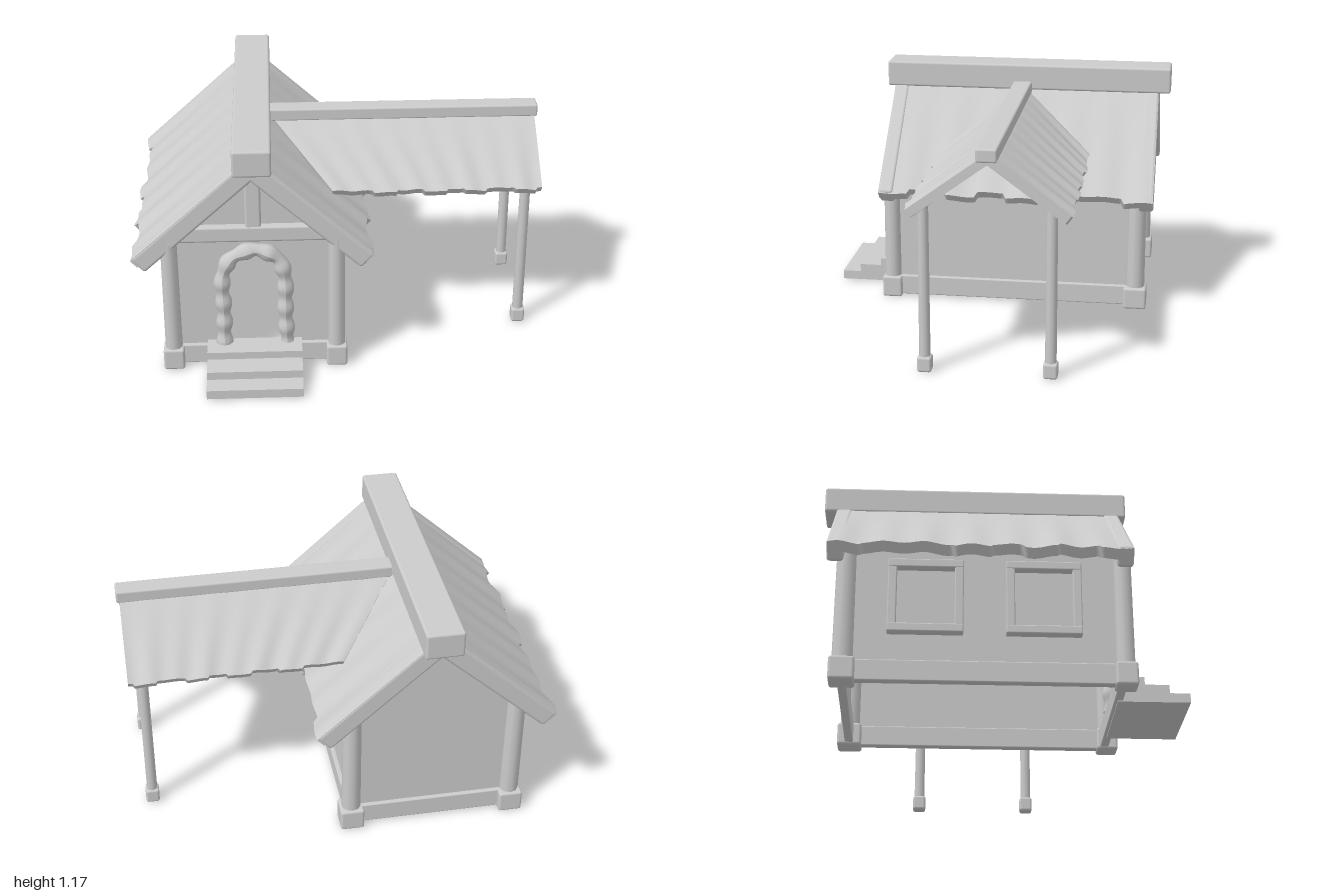
import * as THREE from 'three';
import { RoundedBoxGeometry } from 'three/addons/geometries/RoundedBoxGeometry.js';

const grey = new THREE.MeshStandardMaterial({ color: 0xcccccc });
const thin = new THREE.MeshStandardMaterial({ color: 0xcccccc, side: THREE.DoubleSide });

function add(parent, name, geometry, x = 0, y = 0, z = 0, material = grey) {
  const mesh = new THREE.Mesh(geometry, material);
  mesh.name = name;
  mesh.position.set(x, y, z);
  parent.add(mesh);
  return mesh;
}

// Box given by its limits, with softened edges
function block(parent, name, [x0, x1], [y0, y1], [z0, z1], r = 0.006) {
  return add(parent, name, new RoundedBoxGeometry(x1 - x0, y1 - y0, z1 - z0, 2, r),
    (x0 + x1) / 2, (y0 + y1) / 2, (z0 + z1) / 2);
}

// Round post standing on a block
function post(parent, name, x, z, r, top, baseW, baseH) {
  const g = new THREE.Group();
  g.name = name;
  const h = top - baseH + 0.02;
  add(g, 'shaft', new THREE.CylinderGeometry(r, r * 1.06, h, 10), 0, top - h / 2, 0);
  const b = baseW / 2;
  block(g, 'base', [-b, b], [0, baseH], [-b, b], 0.012);
  g.position.set(x, 0, z);
  parent.add(g);
}

// Rippled roof sheet: runs down +x from the ridge and along z, with tile tabs at the eave
function roofSheet({ length, thickness, ridgeStart, eaveStart, end, ripples, ripple, tabs, tabDepth }) {
  const geo = new THREE.BoxGeometry(1, 1, 1, 4, 1, 96);
  const p = geo.attributes.position;
  for (let i = 0; i < p.count; i++) {
    const s = p.getX(i) + 0.5, a = p.getZ(i) + 0.5;
    const start = THREE.MathUtils.lerp(ridgeStart, eaveStart, s);
    const eaveZ = eaveStart + a * (end - eaveStart);
    const tab = s > 0.99 && tabs.some(([t0, t1]) => eaveZ >= t0 && eaveZ <= t1) ? tabDepth : 0;
    const wave = ripple * s * (Math.sin(a * ripples * 2 * Math.PI) + 0.5 * Math.sin(a * ripples * 3.7 + 1));
    p.setXYZ(i, s * length + tab, p.getY(i) * thickness + wave, start + a * (end - start));
  }
  geo.computeVertexNormals();
  return geo;
}

// Both slopes of a roof, mirrored about the ridge
function gableRoof(name, angle, makeSlope) {
  const roof = new THREE.Group();
  roof.name = name;
  for (const side of [1, -1]) {
    const half = new THREE.Group(), slope = new THREE.Group();
    half.name = side > 0 ? 'slopeA' : 'slopeB';
    half.scale.x = side;
    slope.rotation.z = -angle;
    makeSlope(slope);
    half.add(slope);
    roof.add(half);
  }
  return roof;
}

function gableShape(x0, x1, eave, peak) {
  const s = new THREE.Shape();
  s.moveTo(x0, 0.02);
  s.lineTo(x1, 0.02);
  s.lineTo(x1, eave);
  s.lineTo((x0 + x1) / 2, peak);
  s.lineTo(x0, eave);
  s.closePath();
  return s;
}

function buildWalls(house) {
  const x0 = -0.82, x1 = -0.03, zF = 0.525, zB = -0.71;
  // Front gable has an arched doorway
  const front = gableShape(x0, x1, 0.7, 1.05);
  const door = new THREE.Path();
  door.moveTo(-0.55, 0.1);
  door.lineTo(-0.55, 0.5);
  door.quadraticCurveTo(-0.54, 0.62, -0.425, 0.62);
  door.quadraticCurveTo(-0.3, 0.62, -0.295, 0.5);
  door.lineTo(-0.295, 0.1);
  door.closePath();
  front.holes.push(door);
  add(house, 'frontWall', new THREE.ShapeGeometry(front), 0, 0, zF, thin);
  add(house, 'backWall', new THREE.ShapeGeometry(gableShape(x0, x1, 0.7, 1.05)), 0, 0, zB, thin).rotation.y = Math.PI;
  house.children.at(-1).position.x = x0 + x1;
  for (const [name, x, turn] of [['leftWall', x1, 1], ['rightWall', x0, -1]]) {
    const wall = add(house, name, new THREE.PlaneGeometry(zF - zB, 0.68), x, 0.36, (zF + zB) / 2, thin);
    wall.rotation.y = turn * Math.PI / 2;
  }
  // Plinth around the foot of the walls
  for (const x of [x0, x1]) block(house, 'sidePlinth', [x - 0.02, x + 0.02], [0.01, 0.11], [zB, zF]);
  block(house, 'backPlinth', [x0, x1], [0.01, 0.11], [zB - 0.02, zB + 0.02]);
  block(house, 'frontPlinth', [x0, x1], [0.01, 0.11], [zF - 0.02, zF + 0.02]);
  // Corner posts
  for (const x of [x0, -0.033]) {
    post(house, 'frontCornerPost', x, 0.54, 0.04, 0.69, 0.1, 0.11);
    post(house, 'backCornerPost', x, -0.71, 0.044, 0.69, 0.115, 0.11);
  }
  // Gable timbers
  block(house, 'tieBeam', [-0.81, -0.04], [0.68, 0.76], [0.5, 0.56], 0.012);
  block(house, 'kingPost', [-0.46, -0.385], [0.74, 1.06], [0.5, 0.555], 0.012);
  // Two framed windows on one side
  for (const z of [-0.35, 0.18]) {
    const w = new THREE.Group();
    w.name = 'window';
    for (const s of [-1, 1]) {
      const zc = z + s * 0.15;
      block(w, 'jamb', [-0.86, -0.81], [0.24, 0.6], [zc - 0.02, zc + 0.02]);
      const yc = 0.42 + s * 0.16;
      block(w, 'rail', [-0.862, -0.81], [yc - 0.02, yc + 0.02], [z - 0.17, z + 0.17]);
    }
    house.add(w);
  }
}

function buildEntrance(house) {
  // Lumpy stone arch
  const path = new THREE.CatmullRomCurve3([
    [-0.575, 0.11], [-0.572, 0.3], [-0.575, 0.48], [-0.53, 0.585], [-0.42, 0.63],
    [-0.315, 0.585], [-0.278, 0.48], [-0.278, 0.3], [-0.272, 0.11],
  ].map(([x, y]) => new THREE.Vector3(x, y, 0.54)), false, 'catmullrom', 0.4);
  const rings = 72, sides = 10;
  const geo = new THREE.TubeGeometry(path, rings, 0.037, sides);
  const p = geo.attributes.position, v = new THREE.Vector3();
  for (let i = 0; i < p.count; i++) {
    const t = Math.floor(i / (sides + 1)) / rings;
    const c = path.getPointAt(t);
    v.fromBufferAttribute(p, i).sub(c);
    v.multiplyScalar(0.98 + 0.16 * Math.sin(t * 11 * Math.PI * 2 + 0.6)).add(c);
    p.setXYZ(i, v.x, v.y, v.z);
  }
  geo.computeVertexNormals();
  add(house, 'doorArch', geo, 0, 0, 0, thin);
  // Steps
  for (const [y0, y1, z] of [[0.005, 0.05, 0.85], [0.05, 0.09, 0.757], [0.09, 0.127, 0.645]])
    add(house, 'step', new THREE.BoxGeometry(0.455, y1 - y0, z - 0.52), -0.43, (y0 + y1) / 2, (z + 0.52) / 2);
}

export function createModel() {
  const model = new THREE.Group();
  model.name = 'cottage';
  const house = new THREE.Group();
  house.name = 'house';
  model.add(house);
  buildWalls(house);
  buildEntrance(house);

  // Main roof with a thick rafter at each end
  const mainRoof = gableRoof('mainRoof', 0.737, (slope) => {
    add(slope, 'sheet', roofSheet({
      length: 0.705, thickness: 0.05, ridgeStart: -0.79, eaveStart: -0.79, end: 0.575, ripples: 7, ripple: 0.006,
      tabs: [[-0.8, -0.64], [-0.23, -0.06], [0.08, 0.24], [0.43, 0.6]], tabDepth: 0.028,
    }), 0, 0.017, 0);
    for (const z of [-0.755, 0.54])
      add(slope, 'rafter', new RoundedBoxGeometry(0.73, 0.095, 0.075, 3, 0.015), 0.365, 0, z);
  });
  mainRoof.position.set(-0.427, 1.062, 0);
  model.add(mainRoof);
  block(model, 'mainRidge', [-0.512, -0.332], [1.04, 1.17], [-0.85, 0.612], 0.012);

  // Side shelter roof, trimmed where it meets the main roof
  const shelterRoof = gableRoof('shelterRoof', 0.63, (slope) => {
    add(slope, 'sheet', roofSheet({
      length: 0.44, thickness: 0.042, ridgeStart: -0.34, eaveStart: -0.04, end: 0.975, ripples: 8, ripple: 0.005,
      tabs: [[0.16, 0.27], [0.4, 0.52], [0.6, 0.71], [0.84, 0.95]], tabDepth: 0.012,
    }));
  });
  shelterRoof.position.set(0, 1.033, -0.095);
  shelterRoof.rotation.y = Math.PI / 2;
  model.add(shelterRoof);
  block(model, 'shelterRidge', [-0.36, 0.99], [1.02, 1.083], [-0.14, -0.045], 0.01);
  for (const z of [0.203, -0.375]) post(model, 'shelterPost', 0.905, z, 0.025, 0.82, 0.066, 0.075);

  return model;
}
